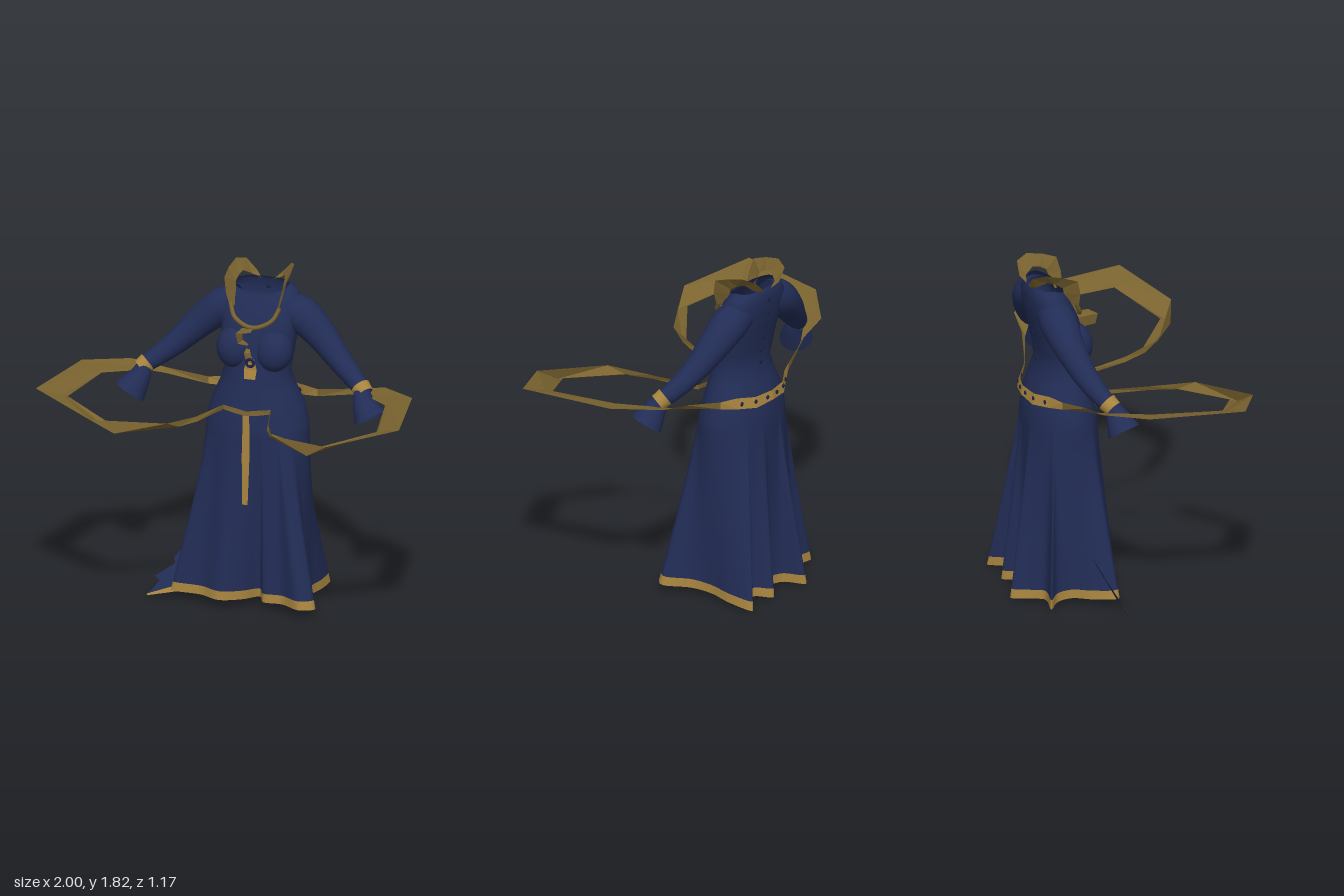
import * as THREE from 'three';

const V = (x, y, z) => new THREE.Vector3(x, y, z);
const paint = (name, color) => {
  const m = new THREE.MeshStandardMaterial({ color, side: THREE.DoubleSide });
  m.name = name;
  return m;
};

// Skin a list of cross-sections, smooth or faceted
function loft(rings, closed, flat = false) {
  const n = rings[0].length, pos = [], idx = [];
  rings.forEach(r => r.forEach(p => pos.push(p.x, p.y, p.z)));
  for (let i = 0; i < rings.length - 1; i++) {
    for (let j = 0; j < (closed ? n : n - 1); j++) {
      const a = i * n + j, b = i * n + (j + 1) % n;
      idx.push(a, a + n, b, b, a + n, b + n);
    }
  }
  let g = new THREE.BufferGeometry();
  g.setAttribute('position', new THREE.Float32BufferAttribute(pos, 3));
  g.setIndex(idx);
  if (flat) g = g.toNonIndexed();
  g.computeVertexNormals();
  return g;
}

// Round tube of changing radius along [x, y, z, radius] stations
function taperedTube(stations, steps = 16, sides = 24) {
  const curve = new THREE.CatmullRomCurve3(stations.map(s => V(s[0], s[1], s[2])));
  const rings = [];
  for (let i = 0; i <= steps; i++) {
    const t = i / steps, f = t * (stations.length - 1);
    const k = Math.min(Math.floor(f), stations.length - 2);
    const r = THREE.MathUtils.lerp(stations[k][3], stations[k + 1][3], f - k);
    const c = curve.getPoint(t), d = curve.getTangent(t);
    const u = d.clone().cross(V(0, 0, 1)).normalize(), v = d.clone().cross(u);
    rings.push(Array.from({ length: sides }, (_, j) => {
      const a = j / sides * Math.PI * 2;
      return c.clone().addScaledVector(u, Math.cos(a) * r).addScaledVector(v, Math.sin(a) * r);
    }));
  }
  return loft(rings, true);
}

// Strip given as rows of [edge A xyz, edge B xyz]
const strip = (rows, side = 1) =>
  loft(rows.map(r => [V(r[0] * side, r[1], r[2]), V(r[3] * side, r[4], r[5])]), false, true);

// Torso rows: height, half width, front z, back z
const TORSO = [
  [1.0, .275, -.08, -.46], [1.1, .25, -.10, -.45], [1.2, .205, -.12, -.42], [1.28, .178, -.14, -.39],
  [1.36, .188, -.15, -.395], [1.45, .2, -.16, -.41], [1.53, .205, -.18, -.43], [1.6, .215, -.21, -.44],
  [1.66, .215, -.24, -.445], [1.71, .185, -.255, -.44], [1.73, .145, -.26, -.425],
];
function backAt(y) {
  const k = TORSO.findIndex(r => r[0] >= y), a = TORSO[k - 1], b = TORSO[k];
  return THREE.MathUtils.lerp(a[3], b[3], (y - a[0]) / (b[0] - a[0]));
}

// Folded hem outline in x, z
const HEM = [
  [.29, -.28], [.31, -.17], [.39, -.03], [.32, .02], [.2, -.05], [.1, -.05], [.05, -.14], [-.02, -.06],
  [-.13, 0], [-.25, -.06], [-.42, -.08], [-.37, -.2], [-.3, -.3], [-.31, -.38], [-.38, -.44], [-.25, -.43],
  [-.2, -.5], [-.14, -.585], [-.07, -.48], [.02, -.46], [.1, -.55], [.16, -.47], [.22, -.47], [.3, -.56], [.31, -.42],
];

export function createModel() {
  const model = new THREE.Group();
  const navy = paint('navy cloth', 0x222d56), dark = paint('dark navy', 0x1a2346);
  const gold = paint('gold trim', 0xa8843f), bronze = paint('bronze ribbon', 0x7a632f);
  const add = (name, geometry, material) => {
    const m = new THREE.Mesh(geometry, material);
    m.name = name;
    model.add(m);
    return m;
  };

  // Gown: folds fade from the hem into the hips, then the bodice rises
  const hem = new THREE.CatmullRomCurve3(HEM.map(p => V(p[0], 0, p[1])), true).getPoints(200).slice(0, -1);
  hem.forEach(p => { p.y = .01 + .045 * (p.z + .58) / .6; });
  const angles = hem.map(p => Math.atan2((p.z + .27) / .19, p.x / .275));
  const skirtRow = s => hem.map((p, i) => {
    const t = Math.pow(1 - s, 1.15), a = angles[i];
    return V(
      THREE.MathUtils.lerp(.275 * Math.cos(a), p.x, t),
      THREE.MathUtils.lerp(p.y, 1, s),
      THREE.MathUtils.lerp(-.27 + .19 * Math.sin(a), p.z, t));
  });
  const torsoRow = ([y, rx, f, b], top) => angles.map(a => {
    const k = THREE.MathUtils.lerp(1, .8, THREE.MathUtils.smoothstep(y, 1.2, 1.4));
    const c = Math.sign(Math.cos(a)) * Math.abs(Math.cos(a)) ** k;
    const s = Math.sign(Math.sin(a)) * Math.abs(Math.sin(a)) ** k;
    return V(rx * c, y - (top ? .03 * Math.max(0, s) : 0), (f + b) / 2 + (f - b) / 2 * s);
  });
  const rows = [];
  for (let i = 0; i <= 16; i++) rows.push(skirtRow(.05 + .95 * i / 16));
  TORSO.slice(1).forEach((r, i) => rows.push(torsoRow(r, i > 7)));
  add('gown', loft(rows, true), navy);
  add('hemTrim', loft([skirtRow(0), skirtRow(.05)], true), gold);

  // Torn train at the lower right side
  const train = new THREE.ShapeGeometry(new THREE.Shape([
    [-.28, .28], [-.38, .26], [-.43, .2], [-.42, .17], [-.52, .1], [-.49, .08], [-.55, .01], [-.33, .06], [-.25, .08],
  ].map(p => new THREE.Vector2(p[0], p[1]))));
  const tp = train.attributes.position;
  for (let i = 0; i < tp.count; i++) tp.setZ(i, -.07 - .5 * tp.getY(i));
  train.computeVertexNormals();
  add('train', train, navy);
  add('trainTrim', strip([
    [-.55, .006, -.067, -.545, .016, -.073], [-.43, .032, -.08, -.42, .06, -.096],
    [-.33, .055, -.092, -.32, .09, -.11]]), gold);

  for (const side of [1, -1]) {
    const label = side > 0 ? 'left' : 'right';
    const mir = list => list.map(s => [s[0] * side, ...s.slice(1)]);

    // Bust, sleeve, flared cuff and wrist band
    const bust = add(label + 'Bust', new THREE.SphereGeometry(1, 24, 16), navy);
    bust.scale.set(.1, .115, .09);
    bust.position.set(.107 * side, 1.405, -.212);
    bust.rotation.x = -.25;
    add(label + 'Sleeve', taperedTube(mir([
      [.12, 1.61, -.34, .09], [.22, 1.57, -.34, .1], [.33, 1.48, -.32, .083],
      [.45, 1.365, -.275, .064], [.55, 1.285, -.225, .052], [.62, 1.235, -.18, .041]])), navy);
    add(label + 'Cuff', taperedTube(mir([
      [.595, 1.25, -.185, .04], [.618, 1.19, -.16, .06], [.662, 1.115, -.135, .088]]), 6), navy);
    add(label + 'WristBand', taperedTube(mir([
      [.585, 1.262, -.203, .052], [.62, 1.232, -.178, .047]]), 2), gold);

    // Back sash and the wide folded loop swinging forward
    add(label + 'Belt', strip([
      [0, 1.15, -.465, 0, 1.1, -.475], [.12, 1.15, -.445, .12, 1.09, -.455],
      [.21, 1.16, -.39, .21, 1.1, -.4], [.3, 1.16, -.35, .3, 1.12, -.35]], side), gold);
    add(label + 'SashLoop', strip([
      [.3, 1.16, -.35, .3, 1.12, -.35], [.52, 1.21, -.29, .52, 1.185, -.27], [.7, 1.245, -.27, .64, 1.22, -.2],
      [.91, 1.28, -.08, .8, 1.255, -.03], [1, 1.29, .42, .87, 1.25, .37], [.65, 1.215, .585, .53, 1.135, .54],
      [.29, 1.165, .39, .25, 1.12, .3], [.2, 1.135, .17, .19, 1.11, .17], [.13, 1.12, -.08, .13, 1.095, -.08],
      [.06, 1.11, -.075, .06, 1.082, -.072], [0, 1.1, -.07, 0, 1.075, -.067]], side), bronze);
    add(label + 'SashFold', strip([
      [.64, 1.22, -.2, .63, 1.215, -.19], [.8, 1.255, -.03, .78, 1.245, -.02], [.87, 1.25, .37, .85, 1.235, .34],
      [.53, 1.135, .54, .55, 1.16, .49], [.25, 1.12, .3, .24, 1.13, .27]], side), bronze);

    // Arched collar
    add(label + 'Collar', strip([
      [.13, 1.62, -.2, .11, 1.63, -.25], [.155, 1.7, -.2, .125, 1.7, -.28], [.17, 1.78, -.22, .13, 1.735, -.29],
      [.17, 1.81, -.3, .125, 1.76, -.33], [.16, 1.83, -.39, .115, 1.77, -.37],
      [.125, 1.81, -.455, .085, 1.74, -.42], [.07, 1.75, -.46, .03, 1.715, -.43]], side), bronze);

    // Belt studs
    for (const [x, z] of [[.04, -.467], [.12, -.45], [.19, -.41]]) {
      const stud = add(label + 'BeltStud', new THREE.SphereGeometry(.012, 8, 6), dark);
      stud.scale.z = .5;
      stud.position.set(x * side, 1.125, z);
    }
  }

  // Necklace
  const chain = new THREE.CatmullRomCurve3([
    V(-.135, 1.64, -.22), V(-.1, 1.575, -.185), V(0, 1.535, -.165), V(.1, 1.575, -.185), V(.135, 1.64, -.22)]);
  add('necklace', new THREE.TubeGeometry(chain, 24, .012, 6), bronze);

  // Curled chest ribbon with clasp
  add('chestRibbon', strip([
    [.01, 1.53, -.1, .01, 1.53, -.2], [-.06, 1.53, -.07, -.06, 1.52, -.2], [-.05, 1.47, -.08, -.05, 1.46, -.18],
    [-.01, 1.45, -.12, -.02, 1.44, -.18], [-.035, 1.4, -.135, 0, 1.4, -.14], [-.02, 1.35, -.135, .02, 1.35, -.135]]), bronze);
  add('chestTab', strip([
    [-.02, 1.37, -.138, .02, 1.37, -.138], [-.035, 1.31, -.138, .035, 1.31, -.138],
    [-.03, 1.26, -.125, .03, 1.26, -.125]]), gold);
  const clasp = add('clasp', new THREE.TorusGeometry(.02, .008, 6, 16), dark);
  clasp.position.set(0, 1.35, -.13);

  // Hanging tie down the skirt
  add('frontTie', strip([
    [-.02, 1.09, -.072, .015, 1.09, -.072], [-.025, .85, -.068, .018, .85, -.068],
    [-.02, .58, -.06, .01, .58, -.06]]), gold);

  // Flat buttons down the back
  for (let i = 0; i < 6; i++) {
    const y = 1.67 - i * .075;
    const button = add('backButton', new THREE.SphereGeometry(.014, 10, 8), dark);
    button.scale.z = .4;
    button.position.set(0, y, backAt(y));
  }
  return model;
}
